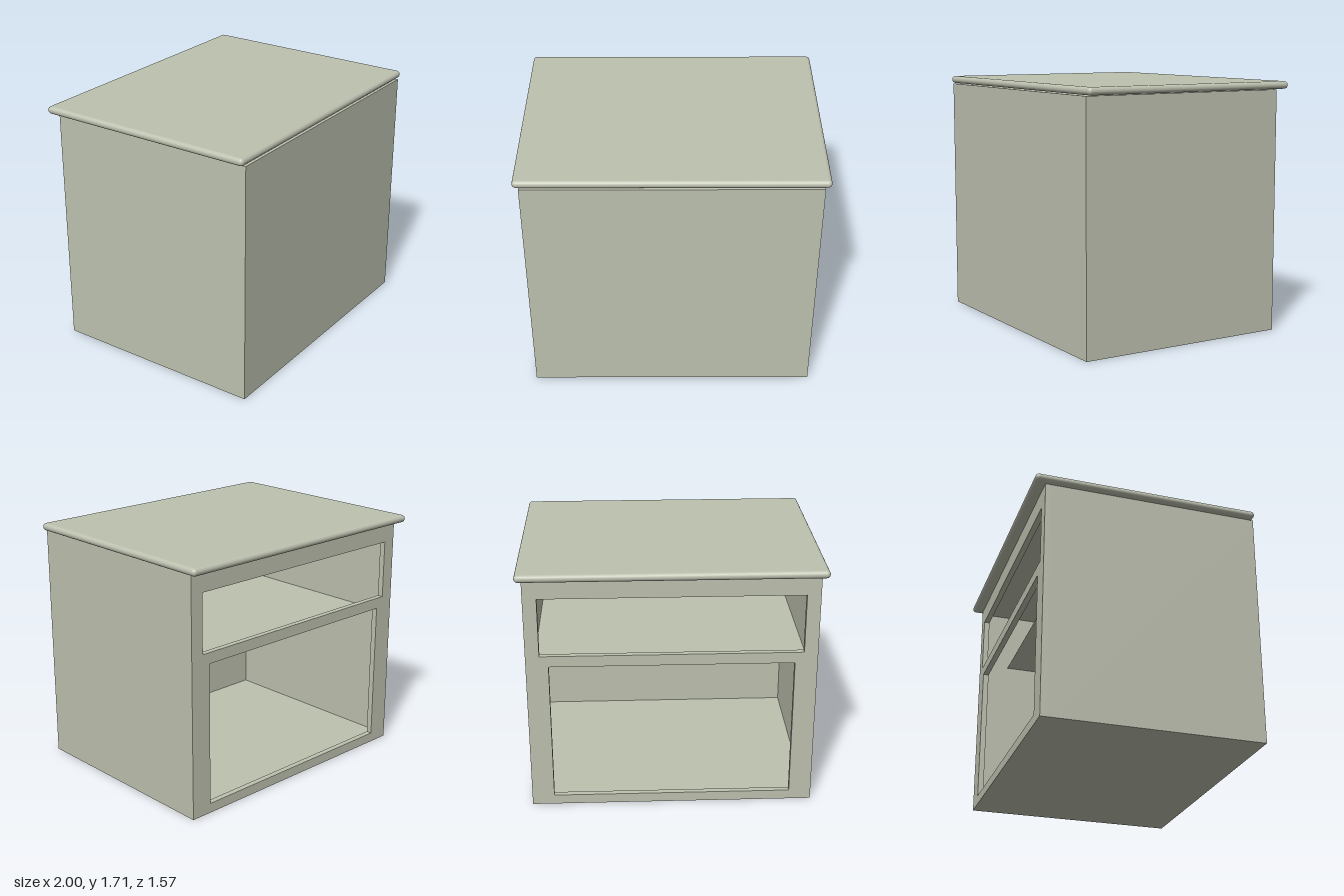
import * as THREE from 'three';
import { RoundedBoxGeometry } from 'three/addons/geometries/RoundedBoxGeometry.js';

export function createModel() {
  const group = new THREE.Group();
  const paint = new THREE.MeshStandardMaterial({ color: 0xbdc1af });
  paint.name = 'sage grey paint';

  const W = 0.96, H = 1.655, FRONT = 0.782, BACK = -0.708, T = 0.04;
  const depth = FRONT - BACK, midZ = (FRONT + BACK) / 2;

  function add(name, geometry, x, y, z) {
    const mesh = new THREE.Mesh(geometry, paint);
    mesh.name = name;
    mesh.position.set(x, y, z);
    group.add(mesh);
    return mesh;
  }
  const box = (w, h, d) => new THREE.BoxGeometry(w, h, d);

  // Carcass panels
  for (const [name, s] of [['leftPanel', 1], ['rightPanel', -1]]) {
    add(name, box(T, H, depth - T), s * (W - T / 2), H / 2, midZ + T / 2);
  }
  add('frontPanel', box(2 * W - 2 * T, H, T), 0, H / 2, FRONT - T / 2);
  for (const [name, y] of [['bottomPanel', T / 2], ['ceilingPanel', H - T / 2]]) {
    add(name, box(2 * W - 2 * T, T, depth - 2 * T), 0, y, midZ);
  }

  // Back frame with a drawer opening above a cupboard opening
  const rect = (path, x, y0, y1) => {
    path.moveTo(-x, y0);
    path.lineTo(x, y0);
    path.lineTo(x, y1);
    path.lineTo(-x, y1);
    path.closePath();
    return path;
  };
  const frame = rect(new THREE.Shape(), W, 0, H);
  frame.holes.push(rect(new THREE.Path(), 0.868, 1.12, 1.523));
  frame.holes.push(rect(new THREE.Path(), 0.81, 0.067, 1.044));
  add('openingFrame', new THREE.ExtrudeGeometry(frame, { depth: T, bevelEnabled: false }), 0, 0, BACK);

  // Compartment linings, set back behind the rail: upper floor faces up, lower ceiling faces down
  const liningBack = BACK + T + 0.17, liningFront = FRONT - T;
  const lining = new THREE.PlaneGeometry(2 * (W - T), liningFront - liningBack);
  const liningZ = (liningFront + liningBack) / 2;
  add('upperCompartmentFloor', lining, 0, 0.99, liningZ).rotation.x = -Math.PI / 2;
  add('lowerCompartmentCeiling', lining, 0, 1.175, liningZ).rotation.x = Math.PI / 2;

  // Worktop with a full rounded edge, overhanging the sides and the open back
  add('worktop', new RoundedBoxGeometry(2, 0.051, 1.565, 4, 0.025), 0, 1.6845, 0);

  return group;
}
